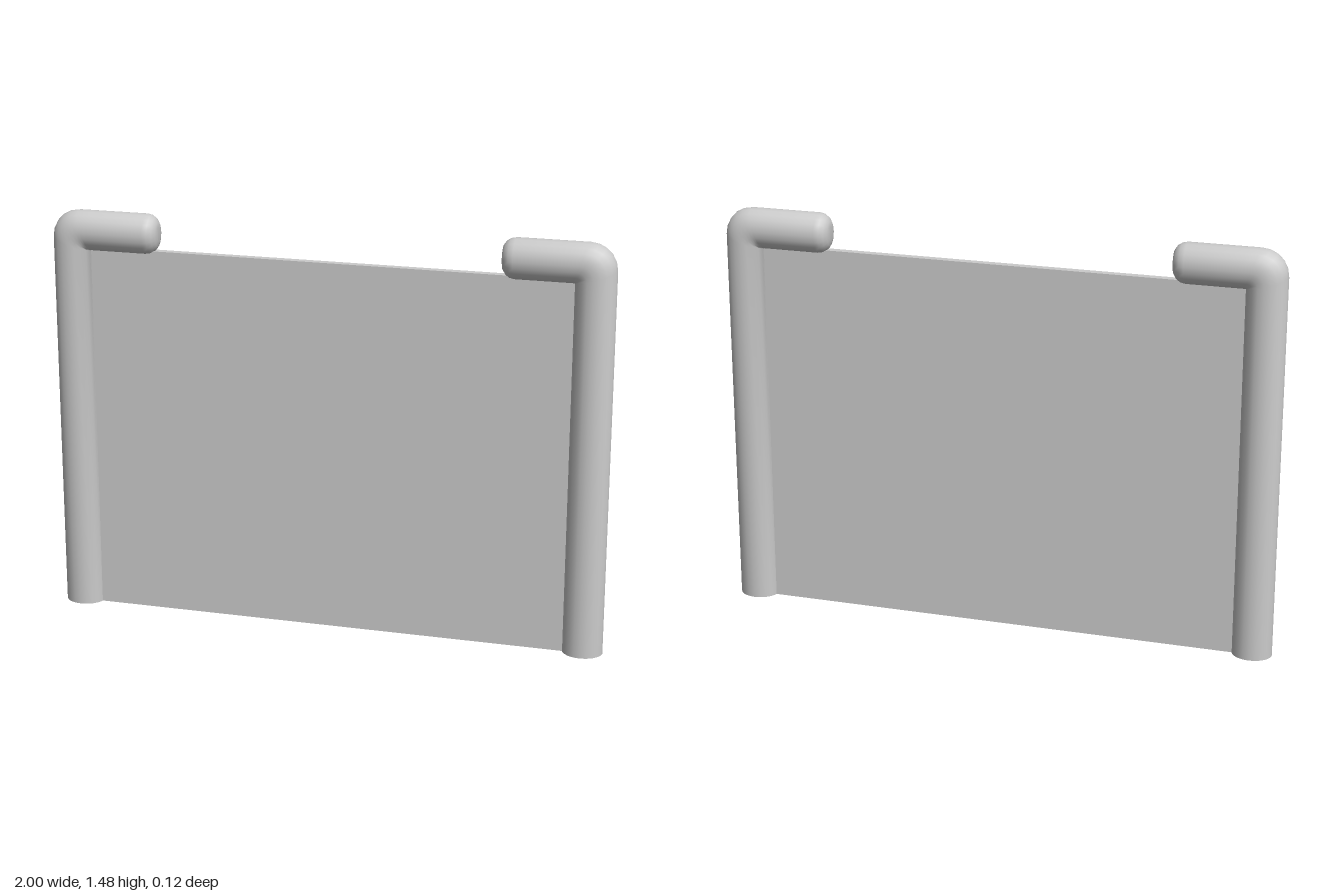
import * as THREE from 'three';
import { toCreasedNormals } from 'three/addons/utils/BufferGeometryUtils.js';

const SIDES = 20;
const DEPTH = 0.062; // half depth of the tube in z
const INNER = [-0.857, 1.332]; // inside corner of the bend
const OUTER = [-1, 1.475]; // outside corner before rounding

// Each ring is an ellipse spanning an outer and an inner point, closed by a flat end
function sweepRings(rings) {
  const pos = [], index = [];
  for (const { a, b, depth } of rings) {
    for (let i = 0; i < SIDES; i++) {
      const t = (i / SIDES) * Math.PI * 2;
      const k = (1 + Math.cos(t)) / 2;
      pos.push(b[0] + (a[0] - b[0]) * k, b[1] + (a[1] - b[1]) * k, depth * Math.sin(t));
    }
  }
  for (let r = 0; r < rings.length - 1; r++) {
    for (let i = 0; i < SIDES; i++) {
      const j = (i + 1) % SIDES;
      const p = r * SIDES + i, q = r * SIDES + j;
      index.push(p, q, p + SIDES, q, q + SIDES, p + SIDES);
    }
  }
  const last = (rings.length - 1) * SIDES;
  for (let i = 1; i < SIDES - 1; i++) index.push(last, last + i, last + i + 1);
  const g = new THREE.BufferGeometry();
  g.setAttribute('position', new THREE.Float32BufferAttribute(pos, 3));
  g.setIndex(index);
  return toCreasedNormals(g, 0.75);
}

function postGeometry() {
  // Open foot
  const rings = [{ a: [OUTER[0], 0], b: [INNER[0], 0], depth: DEPTH }];
  // Bend: rounded outside, sharp inside
  const radius = 0.095, steps = 5;
  for (let i = 0; i <= steps; i++) {
    const t = (i / steps) * Math.PI / 2;
    rings.push({
      a: [OUTER[0] + radius * (1 - Math.cos(t)), OUTER[1] - radius * (1 - Math.sin(t))],
      b: INNER, depth: DEPTH,
    });
  }
  rings.push({ a: [INNER[0], OUTER[1]], b: INNER, depth: DEPTH });
  // Short arm with a rounded tip
  const round = 0.045, tip = -0.61;
  for (let i = 0; i <= 4; i++) {
    const t = (i / 4) * Math.PI / 2;
    const inset = round * (1 - Math.cos(t));
    const x = tip - round * (1 - Math.sin(t));
    rings.push({ a: [x, OUTER[1] - inset], b: [x, INNER[1] + inset], depth: DEPTH - inset });
  }
  return sweepRings(rings);
}

export function createModel() {
  const model = new THREE.Group();
  const tubeMaterial = new THREE.MeshStandardMaterial({ color: 0xcccccc, side: THREE.DoubleSide });
  const panelMaterial = new THREE.MeshStandardMaterial({ color: 0xcccccc });

  // Bent tube posts, one turned to face the other
  const geometry = postGeometry();
  for (const [name, turn] of [['rightPost', 0], ['leftPost', Math.PI]]) {
    const post = new THREE.Mesh(geometry, tubeMaterial);
    post.name = name;
    post.rotation.y = turn;
    model.add(post);
  }

  // Thin panel running into both posts
  const panel = new THREE.Mesh(new THREE.BoxGeometry(1.78, 1.345, 0.028), panelMaterial);
  panel.name = 'panel';
  panel.position.y = 1.345 / 2;
  model.add(panel);
  return model;
}
